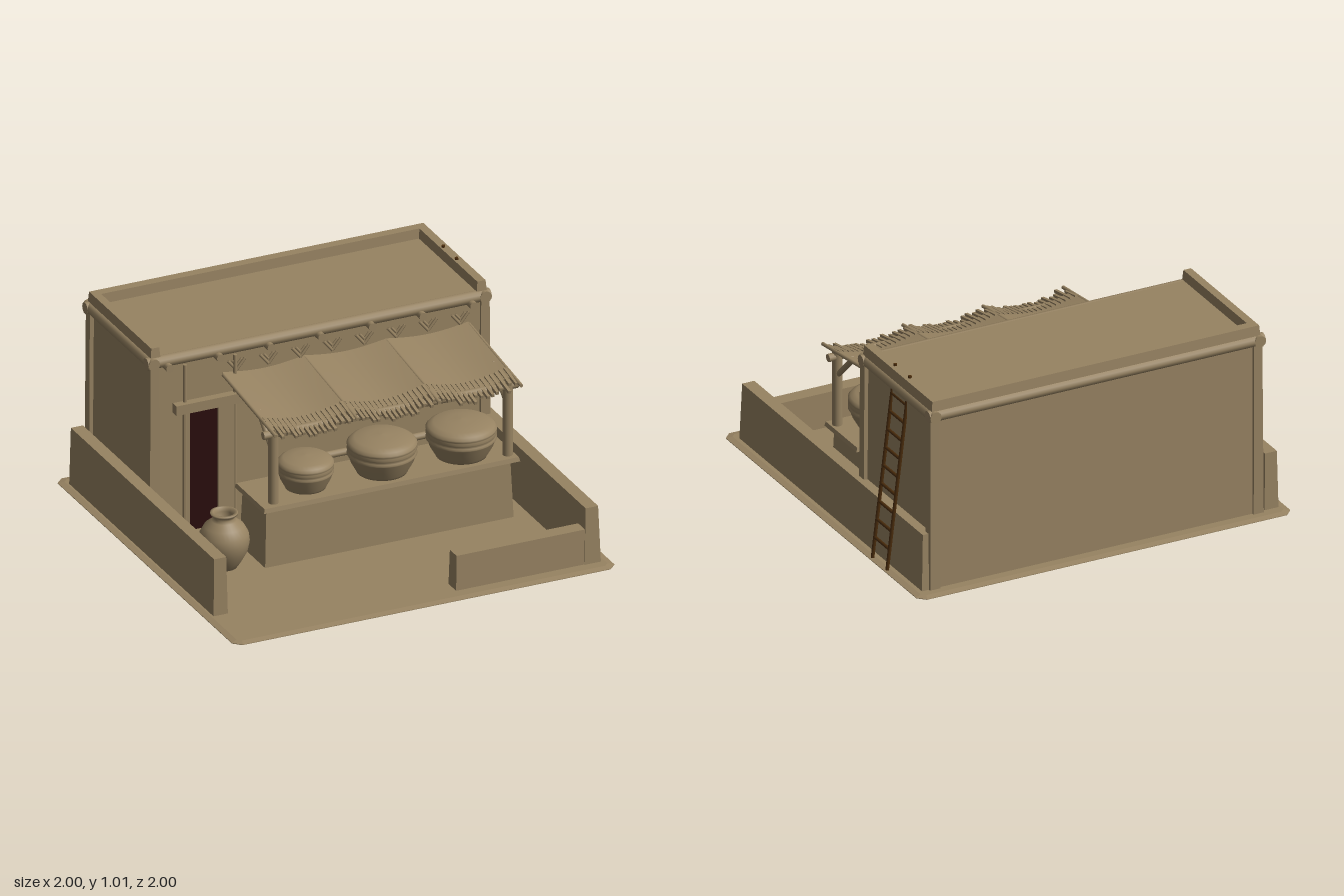
import * as THREE from 'three';

export function createModel() {
  const root = new THREE.Group();
  const material = (name, color, side = THREE.FrontSide) => {
    const m = new THREE.MeshStandardMaterial({ color, side });
    m.name = name;
    return m;
  };
  const clay = material('clay', 0x978362, THREE.DoubleSide);
  const wood = material('dark wood', 0x4a2c0c);
  const dark = material('doorway dark', 0x2a0d0d);

  const add = (name, geo, mat = clay, parent = root) => {
    const mesh = new THREE.Mesh(geo, mat);
    mesh.name = name;
    parent.add(mesh);
    return mesh;
  };
  const group = (name) => {
    const g = new THREE.Group();
    g.name = name;
    root.add(g);
    return g;
  };
  // Box given by its limits, with the top drawn in by `inset` on every side
  const block = (name, x0, x1, y0, y1, z0, z1, inset = 0, mat = clay, parent = root) => {
    const geo = new THREE.BoxGeometry(x1 - x0, y1 - y0, z1 - z0);
    const p = geo.attributes.position;
    for (let i = 0; i < p.count; i++) {
      if (p.getY(i) > 0) {
        p.setX(i, p.getX(i) - Math.sign(p.getX(i)) * inset);
        p.setZ(i, p.getZ(i) - Math.sign(p.getZ(i)) * inset);
      }
    }
    geo.computeVertexNormals();
    geo.translate((x0 + x1) / 2, (y0 + y1) / 2, (z0 + z1) / 2);
    return add(name, geo, mat, parent);
  };
  // Round pole between two points
  const pole = (name, a, b, r, mat = clay, parent = root, sides = 12) => {
    const A = new THREE.Vector3(...a), B = new THREE.Vector3(...b);
    const mesh = add(name, new THREE.CylinderGeometry(r, r, A.distanceTo(B), sides), mat, parent);
    mesh.position.copy(A).lerp(B, 0.5);
    mesh.quaternion.setFromUnitVectors(new THREE.Vector3(0, 1, 0), B.sub(A).normalize());
    return mesh;
  };
  const lathe = (pts, n = 32) => new THREE.LatheGeometry(pts.map(([x, y]) => new THREE.Vector2(x, y)), n);

  // Ground slab with cut corners and a bevelled rim
  const g = 0.97, c = 0.95;
  const slab = new THREE.Shape([[-c, -g], [c, -g], [g, -c], [g, c], [c, g], [-c, g], [-g, c], [-g, -c]]
    .map(([x, y]) => new THREE.Vector2(x, y)));
  const slabGeo = new THREE.ExtrudeGeometry(slab,
    { depth: 0.003, bevelThickness: 0.006, bevelSize: 0.03, bevelSegments: 1 });
  slabGeo.rotateX(-Math.PI / 2).translate(0, 0.006, 0);
  add('ground', slabGeo);

  // House body, corner posts and roof
  const house = group('house');
  block('houseWalls', -0.855, 0.895, 0.01, 0.95, -0.925, -0.225, 0.01, clay, house);
  for (const x of [-0.845, 0.885]) for (const z of [-0.24, -0.91])
    block('cornerPost', x - 0.027, x + 0.027, 0.01, 0.91, z - 0.027, z + 0.027, 0.005, clay, house);
  const rx = [-0.85, 0.885], rz = [-0.24, -0.915];
  for (const z of rz) pole('roofMoulding', [rx[0] - 0.03, 0.922, z], [rx[1] + 0.03, 0.922, z], 0.03, clay, house);
  for (const x of rx) pole('roofMoulding', [x, 0.922, rz[0] + 0.03], [x, 0.922, rz[1] - 0.03], 0.03, clay, house);
  block('parapetBack', -0.86, 0.9, 0.93, 1, -0.93, -0.87, 0.006, clay, house);
  block('parapetRight', -0.86, -0.807, 0.93, 1, -0.93, -0.23, 0.006, clay, house);
  block('parapetLeft', 0.845, 0.9, 0.93, 1, -0.93, -0.23, 0.006, clay, house);

  // Roof beam ends and chevron ornaments
  for (let i = 0; i < 7; i++) {
    const x = -0.78 + i * 0.265;
    pole('beamEnd', [x, 0.902, -0.3], [x, 0.902, -0.185], 0.02, clay, house);
  }
  for (let i = 0; i < 8; i++) {
    const x = -0.415 + i * 0.167;
    for (const s of [-1, 1]) {
      pole('chevronArm', [x, 0.805, -0.222], [x + s * 0.045, 0.86, -0.222], 0.007, clay, house, 6);
      pole('chevronArm', [x, 0.83, -0.222], [x + s * 0.025, 0.86, -0.222], 0.006, clay, house, 6);
    }
  }

  // Doorway with jambs and lintel
  block('doorway', -0.665, -0.515, 0.015, 0.65, -0.225, -0.219, 0, dark);
  block('doorJamb', -0.515, -0.43, 0.012, 0.66, -0.228, -0.21);
  block('doorJamb', -0.695, -0.665, 0.012, 0.66, -0.228, -0.21);
  for (const x of [-0.687, -0.425]) pole('doorPole', [x, 0.012, -0.217], [x, 0.89, -0.217], 0.009);
  block('doorLintel', -0.745, -0.39, 0.645, 0.695, -0.23, -0.188);

  // Wall logs behind the counter
  for (const y of [0.27, 0.505]) pole('wallLog', [-0.03, y, -0.203], [0.7, y, -0.203], 0.018);

  // Yard walls
  block('yardWallRight', -0.96, -0.885, 0.01, 0.31, -0.92, 0.675, 0.006);
  block('yardWallLeft', 0.865, 0.95, 0.01, 0.305, -0.925, 0.92, 0.01);
  block('yardWallFront', 0.195, 0.94, 0.01, 0.195, 0.83, 0.915, 0.005);

  // Counter
  block('counterBody', -0.515, 0.785, 0.01, 0.315, 0.02, 0.305, 0.012);
  block('counterTop', -0.53, 0.81, 0.31, 0.332, 0, 0.325, 0.005);

  // Lidded cooking pots
  const potProfile = [[0, 0], [0.72, 0], [0.75, 0.06], [0.9, 0.3], [0.96, 0.46], [1, 0.5], [0.96, 0.54],
    [0.96, 0.6], [1, 0.64], [0.97, 0.69], [0.99, 0.73], [1, 0.78], [0.93, 0.85], [0.78, 0.93], [0.4, 0.98], [0, 1]];
  for (const [x, r, h] of [[-0.24, 0.136, 0.165], [0.16, 0.168, 0.19], [0.575, 0.17, 0.185]]) {
    add('cookingPot', lathe(potProfile.map(([a, b]) => [a * r, b * h]))).position.set(x, 0.331, 0.17);
  }

  // Water jar
  add('waterJar', lathe([[0, 0.012], [0.06, 0.012], [0.085, 0.05], [0.112, 0.1], [0.122, 0.15], [0.117, 0.19],
    [0.095, 0.23], [0.06, 0.257], [0.05, 0.27], [0.055, 0.284], [0.066, 0.29], [0.066, 0.298], [0.052, 0.3],
    [0.042, 0.28], [0.04, 0.22], [0, 0.2]])).position.set(-0.68, 0, 0.2);

  // Awning frame
  for (const x of [-0.455, 0.77]) {
    pole('awningPost', [x, 0.32, 0.27], [x, 0.72, 0.27], 0.025);
    pole('awningBrace', [x, 0.6, 0.26], [x, 0.745, 0.11], 0.014);
  }
  pole('awningBeam', [-0.51, 0.692, 0.27], [0.82, 0.692, 0.27], 0.02);

  // Sagging cloth panels with fringe
  const awning = group('awning');
  const x0 = -0.485, pw = 0.4283;
  const clothY = (u, z) => 0.798 - 0.125 * (z + 0.22) - Math.sin(Math.PI * u) * (0.022 + 0.03 * (z + 0.22));
  let seed = 7;
  const rand = () => (seed = (seed * 16807) % 2147483647) / 2147483647;
  for (let k = 0; k < 3; k++) {
    const left = x0 + k * pw;
    const geo = new THREE.BoxGeometry(1, 0.01, 1, 16, 1, 8);
    const p = geo.attributes.position;
    for (let i = 0; i < p.count; i++) {
      const u = p.getX(i) + 0.5, z = -0.23 + (p.getZ(i) + 0.5) * 0.5;
      p.setXYZ(i, left + u * pw, clothY(u, z) + p.getY(i), z);
    }
    geo.computeVertexNormals();
    add('awningCloth', geo, clay, awning);
    for (let i = 0; i < 17; i++) {
      const u = (i + 0.5) / 17, x = left + u * pw, end = 0.31 + rand() * 0.06;
      const len = end - 0.2;
      const strip = add('fringeStrip', new THREE.BoxGeometry(0.015, 0.016, len), clay, awning);
      const ya = clothY(u, 0.2) + 0.004, yb = clothY(u, end) - 0.004;
      strip.position.set(x, (ya + yb) / 2, 0.2 + len / 2);
      strip.rotation.x = Math.atan2(ya - yb, len);
    }
  }
  for (let k = 0; k < 4; k++) {
    const x = x0 + k * pw;
    pole('awningRafter', [x, 0.795, -0.22], [x, 0.724, 0.36], 0.009, clay, awning, 8);
  }

  // Ladder leaning on the side wall
  const ladder = group('ladder');
  const lx = (y) => 0.987 - 0.123 * (y - 0.02);
  for (const z of [-0.497, -0.645]) pole('ladderRail', [lx(0.015), 0.015, z], [lx(1.01), 1.01, z], 0.009, wood, ladder, 8);
  for (let i = 0; i < 10; i++) {
    const y = 0.12 + i * 0.0925;
    pole('ladderRung', [lx(y), y, -0.497], [lx(y), y, -0.645], 0.008, wood, ladder, 8);
  }
  return root;
}
